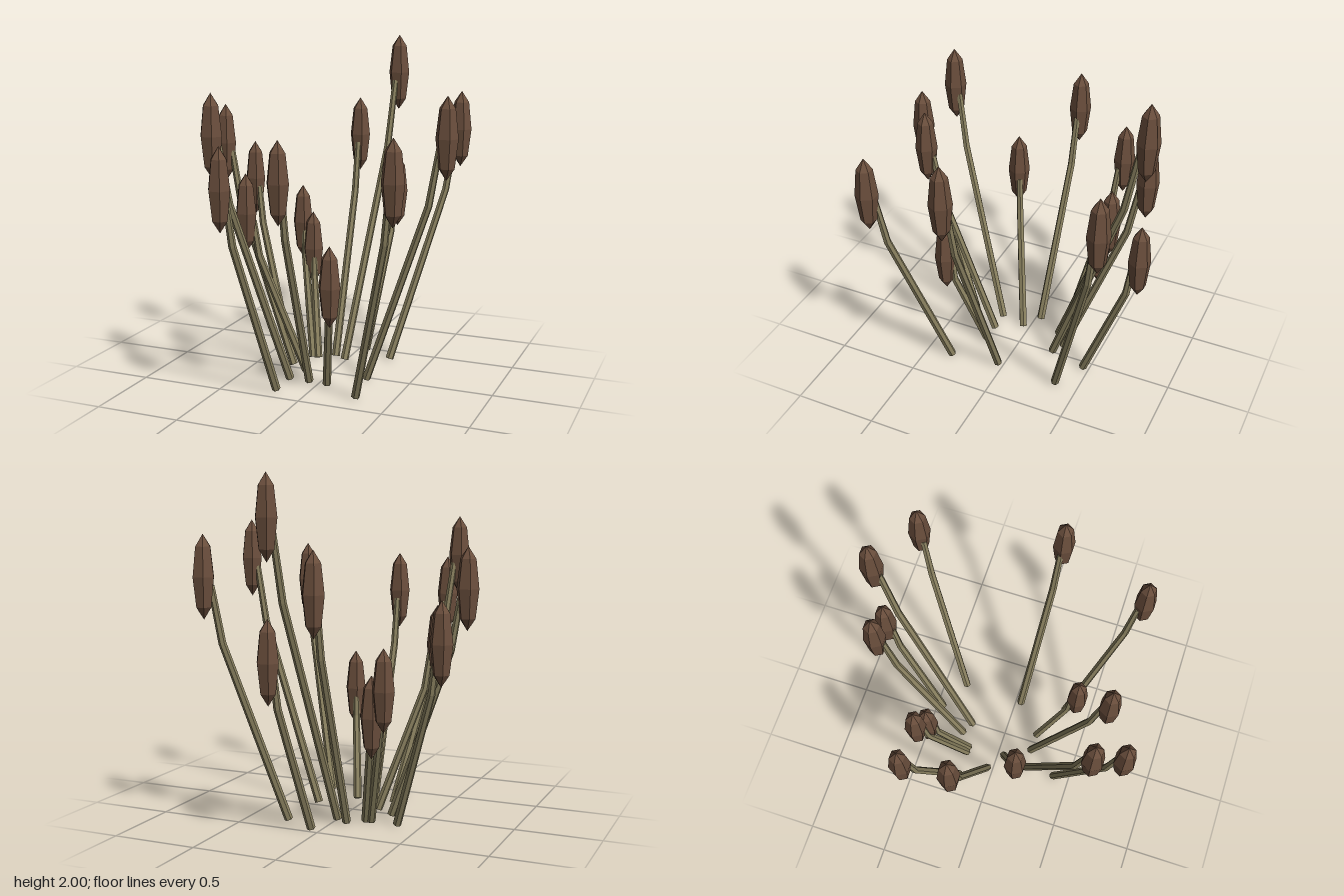
import * as THREE from 'three';

const brown = new THREE.MeshStandardMaterial({ color: 0x6b4f3d });
brown.name = 'seed head brown';
const olive = new THREE.MeshStandardMaterial({ color: 0x89805f });
olive.name = 'stem olive';

const HEAD_RADIUS = 0.066, HEAD_HALF = 0.235;

// Each reed: head x, head z, head tip height, foot x, foot z
const REEDS = [
  [-0.10, -0.74, 1.60, -0.08, -0.27],
  [0.14, -0.80, 2.00, -0.005, -0.23],
  [0.14, -0.80, 1.235, 0.055, -0.46],
  [0.58, -0.71, 1.67, 0.25, -0.355],
  [-0.69, -0.40, 1.33, -0.365, -0.20],
  [-0.375, -0.44, 1.06, -0.205, -0.20],
  [-0.29, -0.405, 0.90, -0.17, -0.20],
  [-0.73, -0.08, 1.60, -0.265, -0.035],
  [-0.455, 0.21, 1.235, -0.15, 0.04],
  [-0.445, 0.635, 1.745, -0.185, 0.20],
  [-0.315, 0.80, 1.485, -0.185, 0.395],
  [-0.05, 0.635, 1.51, -0.06, 0.20],
  [0.16, 0.42, 0.90, 0.055, 0.205],
  [0.605, 0.65, 1.56, 0.285, 0.335],
  [0.73, 0.115, 1.725, 0.24, 0.035],
];

// Faceted copy: every face keeps its own normal
function faceted(geometry) {
  const flat = geometry.toNonIndexed();
  flat.computeVertexNormals();
  return flat;
}

// Six-sided tapered stem: a cylinder whose three rings follow foot, bend and top
function stemGeometry(points) {
  const geometry = new THREE.CylinderGeometry(0.019, 0.025, 2, 6, 2);
  const up = new THREE.Vector3(0, 1, 0);
  const lower = points[1].clone().sub(points[0]).normalize();
  const upper = points[2].clone().sub(points[1]).normalize();
  const middle = lower.clone().add(upper).normalize();
  const turns = [lower, middle, upper].map(
    (d) => new THREE.Quaternion().setFromUnitVectors(up, d));
  const pos = geometry.attributes.position;
  const v = new THREE.Vector3();
  for (let i = 0; i < pos.count; i++) {
    v.fromBufferAttribute(pos, i);
    const ring = Math.round(v.y + 1);
    v.y = 0;
    v.applyQuaternion(turns[ring]).add(points[ring]);
    pos.setXYZ(i, v.x, v.y, v.z);
  }
  return faceted(geometry);
}

export function createModel() {
  const model = new THREE.Group();
  model.name = 'reedClump';

  // Pointed six-sided seed head shared by every reed
  const headGeometry = faceted(
    new THREE.SphereGeometry(1, 6, 4).scale(HEAD_RADIUS, HEAD_HALF, HEAD_RADIUS));

  for (const [x, z, tip, footX, footZ] of REEDS) {
    const reed = new THREE.Group();
    reed.name = 'reed';

    const head = new THREE.Mesh(headGeometry, brown);
    head.name = 'seedHead';
    head.position.set(x, tip - HEAD_HALF, z);

    // Stem leans outward, bends up, and meets the inner side of the head
    const foot = new THREE.Vector3(footX, 0.009, footZ);
    const lean = new THREE.Vector3(x - footX, 0, z - footZ);
    const height = head.position.y;
    const bend = foot.clone().addScaledVector(lean, 0.79).setY(height * 0.74);
    const top = head.position.clone().addScaledVector(lean.clone().normalize(), -0.042);
    top.y -= 0.05;

    const stem = new THREE.Mesh(stemGeometry([foot, bend, top]), olive);
    stem.name = 'stem';

    reed.add(stem, head);
    model.add(reed);
  }
  return model;
}
